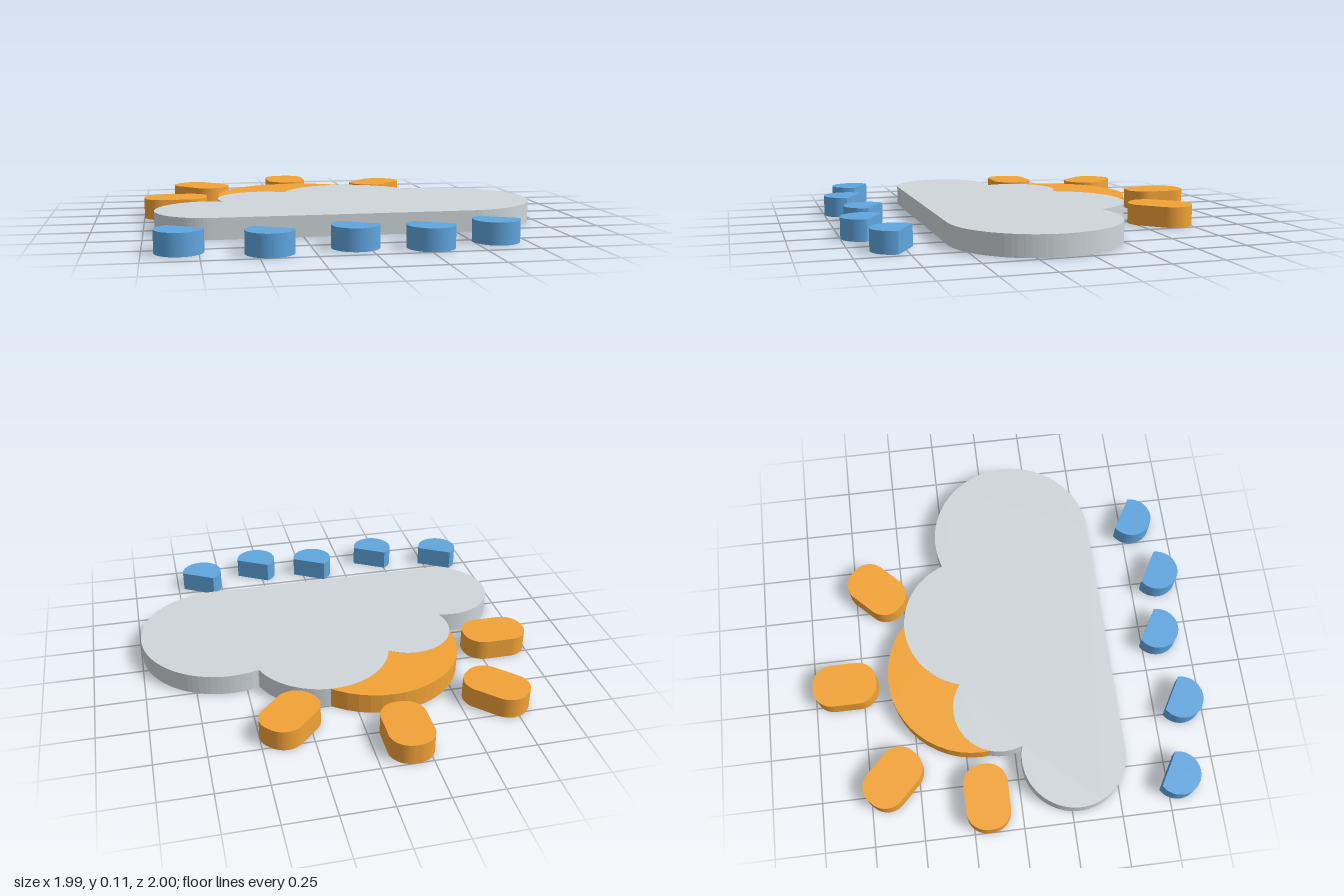
import * as THREE from 'three';

const H = 0.105;
const GAP = 0.001; // keeps overlapping sun and cloud faces apart

const paint = (color) => new THREE.MeshStandardMaterial({ color, flatShading: true });

// Extrudes an outline drawn in (x, -z) upward into a flat plate.
function plate(name, shape, material, height = H) {
  const geo = new THREE.ExtrudeGeometry(shape, { depth: height, bevelEnabled: false, curveSegments: 24 });
  geo.rotateX(-Math.PI / 2);
  const mesh = new THREE.Mesh(geo, material);
  mesh.name = name;
  return mesh;
}

// Outline made of circle arcs that meet at the given corner points.
function cloudShape() {
  const arcs = [
    // cx, cy, r, start point, end point (counter-clockwise)
    [0.575, -0.13, 0.42, [0.575, -0.55], [0.44, 0.27]],
    [0.102, 0.145, 0.356, [0.44, 0.27], [-0.235, 0.245]],
    [-0.383, 0.055, 0.236, [-0.235, 0.245], [-0.602, -0.035]],
    [-0.682, -0.288, 0.263, [-0.602, -0.035], [-0.682, -0.551]],
  ];
  const shape = new THREE.Shape();
  for (const [cx, cy, r, a, b] of arcs) {
    shape.absarc(cx, cy, r, Math.atan2(a[1] - cy, a[0] - cx), Math.atan2(b[1] - cy, b[0] - cx), false);
  }
  shape.closePath();
  return shape;
}

// Stubby bar with strongly rounded corners, lying along x.
function rayShape() {
  const x = 0.165, y = 0.111, r = 0.1;
  const shape = new THREE.Shape();
  shape.absarc(x - r, y - r, r, 0, Math.PI / 2, false);
  shape.absarc(r - x, y - r, r, Math.PI / 2, Math.PI, false);
  shape.absarc(r - x, r - y, r, Math.PI, Math.PI * 1.5, false);
  shape.absarc(x - r, r - y, r, Math.PI * 1.5, Math.PI * 2, false);
  shape.closePath();
  return shape;
}

// Circle with two tangents running to a tip at the upper right.
function dropShape() {
  const r = 0.11;
  const shape = new THREE.Shape();
  shape.moveTo(r, r * Math.sqrt(3));
  shape.absarc(0, 0, r, Math.PI * 2 / 3, Math.PI * 2, false);
  shape.closePath();
  return shape;
}

export function createModel() {
  const model = new THREE.Group();
  model.name = 'weatherSign';
  const grey = paint(0xcfd6da);
  const orange = paint(0xf2a337);
  const blue = paint(0x5fa5de);

  // Cloud
  const cloud = plate('cloud', cloudShape(), grey, H - GAP);
  cloud.position.y = GAP;
  model.add(cloud);

  // Sun disc, partly hidden by the cloud
  const sun = new THREE.Group();
  sun.name = 'sun';
  const disc = new THREE.Shape().absarc(0, 0, 0.44, 0, Math.PI * 2, false);
  const sunDisc = plate('sunDisc', disc, orange, H - GAP);
  sunDisc.position.set(-0.17, 0, -0.17);
  sun.add(sunDisc);

  // Sun rays: x, z, turn
  const rays = [
    [-0.835, -0.17, 0],
    [-0.682, -0.628, -Math.PI / 4],
    [-0.168, -0.835, Math.PI / 2],
    [0.346, -0.628, Math.PI / 4],
  ];
  for (const [x, z, turn] of rays) {
    const ray = plate('sunRay', rayShape(), orange);
    ray.position.set(x, 0, z);
    ray.rotation.y = turn;
    sun.add(ray);
  }
  model.add(sun);

  // Raindrops: x, z
  const drops = [[-0.835, 0.8], [-0.447, 0.888], [-0.058, 0.83], [0.274, 0.888], [0.608, 0.8]];
  for (const [x, z] of drops) {
    const drop = plate('raindrop', dropShape(), blue);
    drop.position.set(x, 0, z);
    model.add(drop);
  }
  return model;
}
